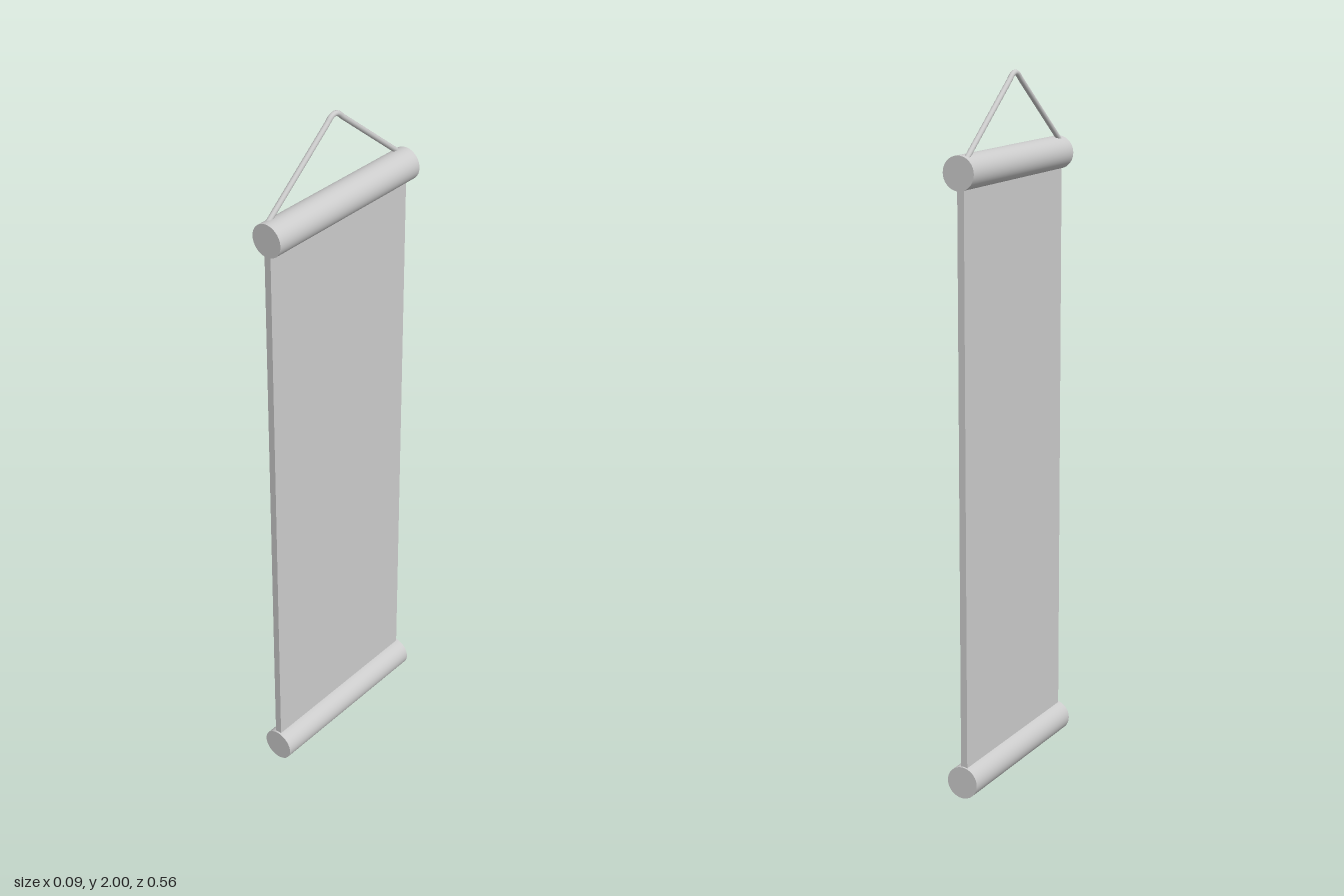
import * as THREE from 'three';

export function createModel() {
  const group = new THREE.Group();
  group.name = 'hangingScroll';
  const material = new THREE.MeshStandardMaterial({ color: 0xcccccc });
  const add = (name, geometry, x, y, z) => {
    const mesh = new THREE.Mesh(geometry, material);
    mesh.name = name;
    mesh.position.set(x, y, z);
    group.add(mesh);
  };

  // Round rods at the top and bottom, running front to back
  const radius = 0.0465, topY = 1.752, bottomY = 0.0485;
  const rod = new THREE.CylinderGeometry(radius, radius, 0.562, 48).rotateX(Math.PI / 2);
  add('topRod', rod, 0, topY, 0);
  add('bottomRod', rod, 0, bottomY, 0);

  // Thin hanging panel, its ends tucked into the rods
  add('panel', new THREE.BoxGeometry(0.02, topY - bottomY, 0.55), -0.003, (topY + bottomY) / 2, 0);

  // Hanging cord: two straight runs joined by a rounded peak
  const point = (y, z) => new THREE.Vector3(0, y, z);
  const path = new THREE.CurvePath();
  path.add(new THREE.LineCurve3(point(1.788, 0.26), point(1.976, 0.026)));
  path.add(new THREE.QuadraticBezierCurve3(point(1.976, 0.026), point(2.0085, -0.002), point(1.976, -0.03)));
  path.add(new THREE.LineCurve3(point(1.976, -0.03), point(1.788, -0.264)));
  add('cord', new THREE.TubeGeometry(path, 96, 0.0075, 12), -0.0145, 0, 0);
  // Rounded cord ends resting in the rod
  for (const z of [0.26, -0.264]) add('cordEnd', new THREE.SphereGeometry(0.0075, 12, 8), -0.0145, 1.788, z);

  return group;
}
